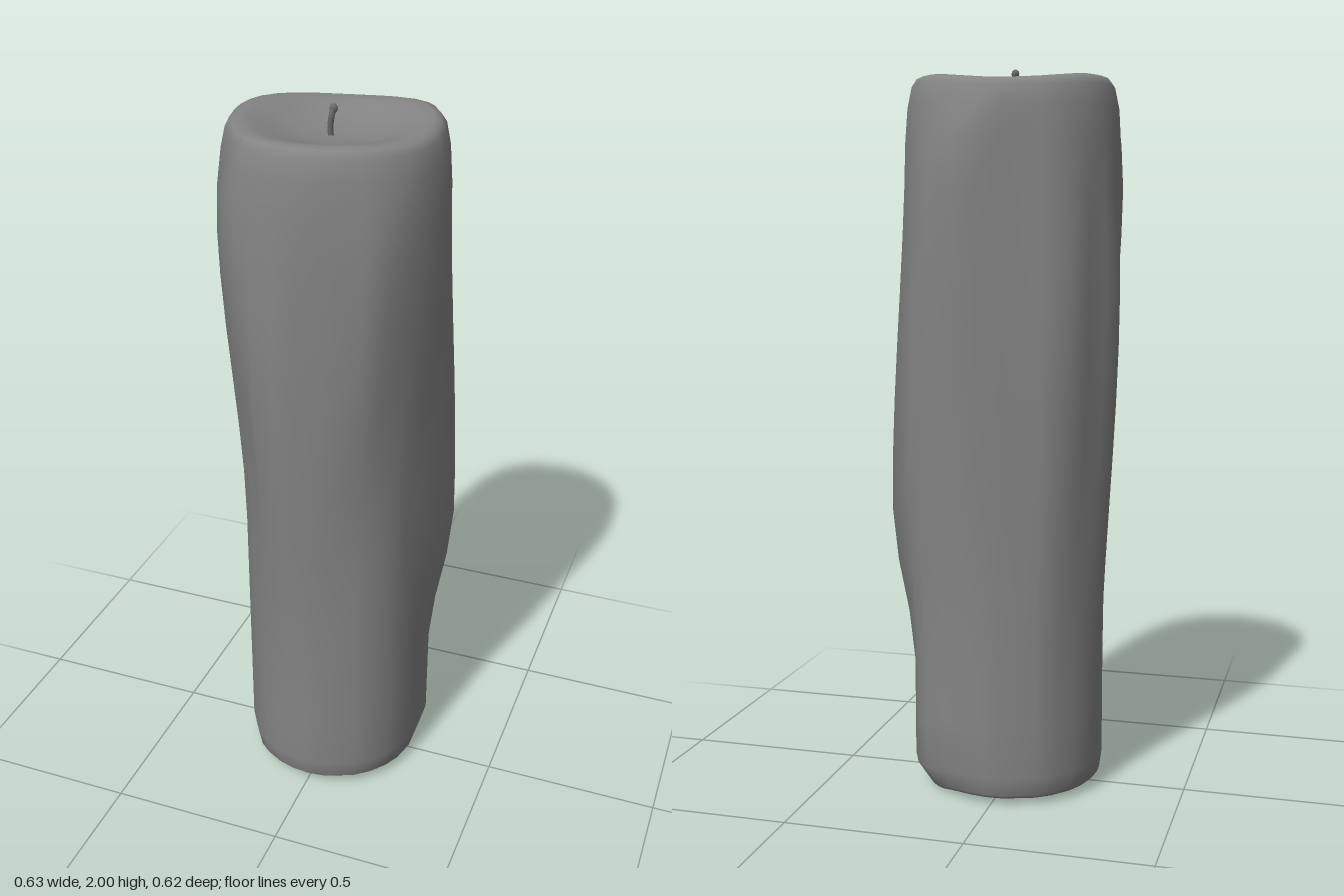
import * as THREE from 'three';

// Widest outline of the wax: [x, z, height where widest, height where swelling starts]
const OUTLINE = [
  [0.305, 0.03, 1.7, 0.8], [0.28, 0.11, 1.75, 0.9], [0.255, 0.165, 1.75, 0.95],
  [0.22, 0.22, 1.75, 0.95], [0.17, 0.26, 1.7, 0.8], [0.06, 0.275, 1.4, 0.4],
  [0.0, 0.29, 1.4, 0.3], [-0.06, 0.308, 1.4, 0.25], [-0.12, 0.297, 1.45, 0.3],
  [-0.175, 0.258, 1.7, 0.8], [-0.225, 0.225, 1.75, 0.95], [-0.285, 0.115, 1.7, 0.8],
  [-0.288, 0.04, 1.5, 0.4], [-0.303, -0.01, 1.4, 0.25], [-0.314, -0.07, 1.4, 0.2],
  [-0.288, -0.12, 1.4, 0.25], [-0.25, -0.17, 1.4, 0.3], [-0.22, -0.25, 1.4, 0.3],
  [-0.15, -0.265, 1.6, 0.5], [-0.04, -0.285, 1.8, 0.5], [0.02, -0.31, 1.8, 0.4],
  [0.08, -0.308, 1.8, 0.4], [0.16, -0.28, 1.7, 0.4], [0.22, -0.245, 1.3, 0.4],
  [0.245, -0.205, 1.1, 0.3], [0.312, -0.14, 0.8, 0.35], [0.303, -0.05, 1.2, 0.4],
].map(([x, z, peak, start]) => ({ a: Math.atan2(z, x), r: Math.hypot(x, z), peak, start }));

const { lerp, smoothstep } = THREE.MathUtils;

// Bump of the given width around the long run of wax on the back left
const runBump = (a, width) => Math.exp(-(((a + 0.68) / width) ** 2));

// Radius of the wax wall in one direction at height y
function wallRadius(s, y) {
  const base = 0.257 + 0.038 * runBump(s.a, 0.42);
  if (y <= s.peak) return lerp(base, s.r, smoothstep(y, s.start, s.peak));
  return lerp(s.r, 0.295, smoothstep(y, s.peak, 1.9));
}

// Skin a stack of rings; ringPoint(ring, sector) returns [radius, y]
function loft(rings, ringPoint) {
  const pos = [], index = [], n = OUTLINE.length;
  rings.forEach((ring, i) => OUTLINE.forEach((s, j) => {
    const [r, y] = ringPoint(ring, s);
    pos.push(r * Math.cos(s.a), y, r * Math.sin(s.a));
    if (i === rings.length - 1) return;
    const a = i * n + j, b = i * n + (j + 1) % n;
    index.push(a, a + n, b, b, a + n, b + n);
  }));
  const g = new THREE.BufferGeometry();
  g.setAttribute('position', new THREE.Float32BufferAttribute(pos, 3));
  g.setIndex(index);
  g.computeVertexNormals();
  return g;
}

// The run of wax hangs slightly below the foot
const footSag = (a) => 0.018 * runBump(a, 0.3);
// Gentle unevenness of the melted rim
const rimWave = (a) => 0.005 * Math.cos(a * 2 + 0.4) - 0.006 * Math.cos(a * 3 - 1);

export function createModel() {
  const group = new THREE.Group();
  const wax = new THREE.MeshStandardMaterial({ color: 0x848484 });
  const char = new THREE.MeshStandardMaterial({ color: 0x6a6a6a });
  const add = (name, geometry, material) => {
    const mesh = new THREE.Mesh(geometry, material);
    mesh.name = name;
    group.add(mesh);
    return mesh;
  };

  // Rounded foot: [y, radius]
  const foot = [[0.018, 0.238], [0.03, 0.25]].map(([y, r]) => (s) => [r, y - footSag(s.a)]);
  // Outer wall with swollen drips
  const wall = [0.08, 0.22, 0.36, 0.5, 0.65, 0.8, 0.95, 1.1, 1.25, 1.4, 1.55, 1.68, 1.8]
    .map((y) => (s) => [wallRadius(s, y), y]);
  // Shoulder, rim and melted pool: [y, radius, amount of rim wave]
  const top = [[1.89, 0.289, 0.2], [1.943, 0.277, 0.7], [1.961, 0.263, 1], [1.966, 0.243, 1],
    [1.961, 0.215, 0.9], [1.948, 0.175, 0.5], [1.932, 0.13, 0.2], [1.922, 0.07, 0], [1.92, 0, 0]]
    .map(([y, r, wave]) => (s) => [r, y + wave * rimWave(s.a)]);
  add('waxBody', loft([...foot, ...wall, ...top], (ring, s) => ring(s)), wax);

  // Flat underside, dipping only at the hanging run
  add('base', loft([0, 0.2, 0.238], (r, s) => [r, 0.018 - (r > 0.2 ? footSag(s.a) : 0)]), wax);

  // Slightly bent wick with a thicker burnt tip
  const wickPath = new THREE.CatmullRomCurve3([
    new THREE.Vector3(-0.01, 1.9, 0.006), new THREE.Vector3(-0.012, 1.94, 0.009),
    new THREE.Vector3(-0.008, 1.97, 0.011), new THREE.Vector3(-0.004, 1.99, 0.007)]);
  add('wick', new THREE.TubeGeometry(wickPath, 8, 0.008, 8), char);
  const tip = add('wickTip', new THREE.SphereGeometry(0.011, 8, 6), char);
  tip.scale.set(1, 1.1, 0.85);
  tip.position.set(-0.004, 1.988, 0.007);

  return group;
}
